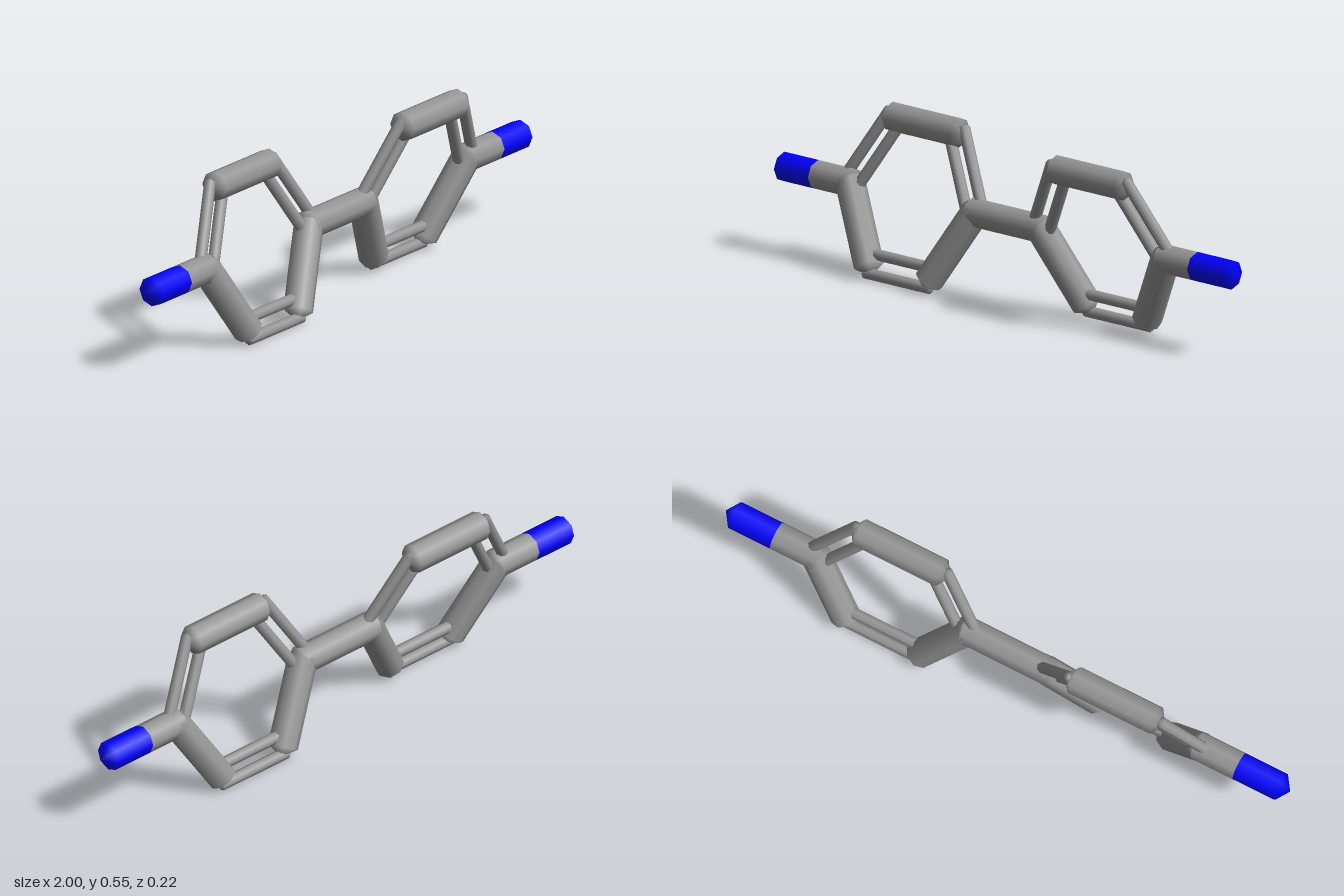
import * as THREE from 'three';

const R = 0.048;        // single bond radius
const THIN = 0.019;     // radius of each rod in a double bond
const OFFSET = 0.032;   // distance of those rods from the bond axis
const RING_X = 0.412, RING_R = 0.269, CENTRE_Y = 0.276;
const TILT = THREE.MathUtils.degToRad(15);

// Eight-sided stick with low pointed ends; the start may be left open for a butt joint
function stickGeometry(length, r, openStart) {
  const rim = length / 2 + 0.2 * r, tip = rim + 0.7 * r;
  const profile = [[r, rim], [0, tip]];
  if (openStart) profile.unshift([r, -length / 2]);
  else profile.unshift([0, -tip], [r, -rim]);
  const geometry = new THREE.LatheGeometry(profile.map(([x, y]) => new THREE.Vector2(x, y)), 8);
  // Radial normals on the sides, axial normals at the points
  const { position, normal } = geometry.attributes;
  for (let i = 0; i < position.count; i++) {
    const x = position.getX(i) / r, z = position.getZ(i) / r;
    if (Math.hypot(x, z) > 0.5) normal.setXYZ(i, x, 0, z);
    else normal.setXYZ(i, 0, Math.sign(position.getY(i)), 0);
  }
  return geometry;
}

export function createModel() {
  const grey = new THREE.MeshStandardMaterial({ color: 0x969696 });
  const blue = new THREE.MeshStandardMaterial({ color: 0x0000ff });
  const model = new THREE.Group();
  model.name = 'stickMolecule';

  function stick(parent, name, a, b, { radius = R, material = grey, openStart = false } = {}) {
    const dir = b.clone().sub(a);
    const mesh = new THREE.Mesh(stickGeometry(dir.length(), radius, openStart), material);
    mesh.position.copy(a).add(b).multiplyScalar(0.5);
    mesh.quaternion.setFromUnitVectors(new THREE.Vector3(0, 1, 0), dir.normalize());
    mesh.name = name;
    parent.add(mesh);
  }

  const onAxis = (x) => new THREE.Vector3(x, CENTRE_Y, 0);

  for (const side of [1, -1]) {
    // Six-sided ring, twisted about the long axis
    const ring = new THREE.Group();
    ring.name = side > 0 ? 'leftRing' : 'rightRing';
    const centre = onAxis(side * RING_X);
    const corners = [];
    for (let i = 0; i < 6; i++) {
      const t = i * Math.PI / 3;
      const y = Math.sin(t) * RING_R;
      corners.push(new THREE.Vector3(
        side * Math.cos(t) * RING_R, y * Math.cos(TILT), side * y * Math.sin(TILT)).add(centre));
    }
    corners.forEach((a, i) => {
      const b = corners[(i + 1) % 6];
      if (i % 2) {
        stick(ring, 'singleBond', a, b);
        return;
      }
      // Double bond: a pair of thin rods lying in the ring plane
      const out = a.clone().add(b).multiplyScalar(0.5).sub(centre).normalize();
      for (const s of [1, -1]) {
        const shift = out.clone().multiplyScalar(s * OFFSET);
        stick(ring, 'doubleBondRod', a.clone().add(shift), b.clone().add(shift), { radius: THIN });
      }
    });
    model.add(ring);

    // End arm, half grey and half blue
    const middle = onAxis(side * 0.82);
    stick(model, 'armInner', middle, onAxis(side * (RING_X + RING_R)), { openStart: true });
    stick(model, 'armOuter', middle, onAxis(side * 0.957), { material: blue, openStart: true });
  }

  // Bond joining the two rings
  stick(model, 'centralBond', onAxis(RING_R - RING_X), onAxis(RING_X - RING_R));
  return model;
}
